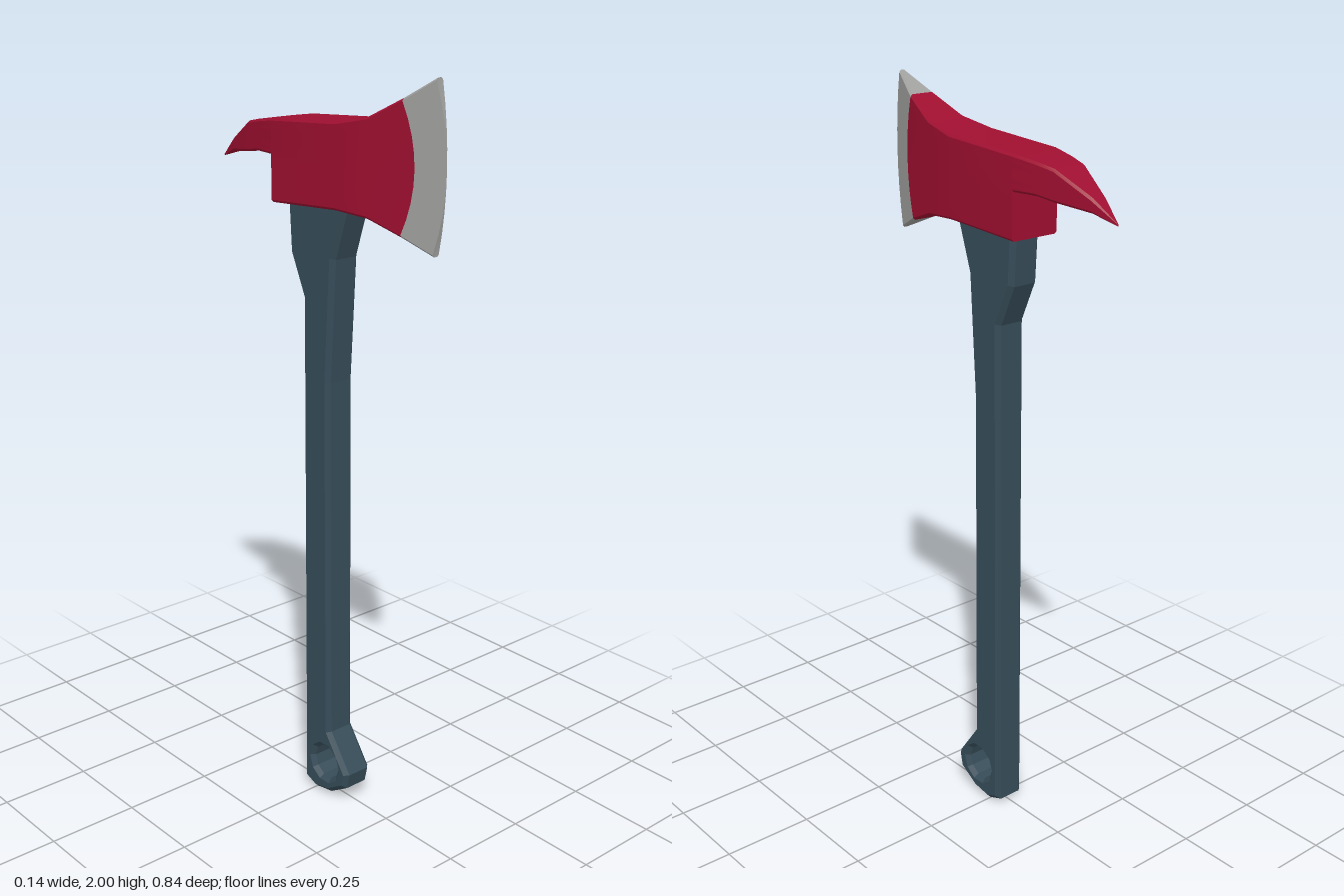
import * as THREE from 'three';
import { toCreasedNormals } from 'three/addons/utils/BufferGeometryUtils.js';

const SIDE_STEPS = 8;

// Half thickness of the head along z: [z, half width]
const THICKNESS = [[-0.42, 0], [-0.35, 0.023], [-0.25, 0.051], [-0.14, 0.072], [0.11, 0.072], [0.21, 0.058], [0.31, 0.037], [0.42, 0]];

function halfWidth(z) {
  for (let i = 1; i < THICKNESS.length; i++) {
    const [z0, w0] = THICKNESS[i - 1], [z1, w1] = THICKNESS[i];
    if (z <= z1) return THREE.MathUtils.mapLinear(Math.max(z, z0), z0, z1, w0, w1);
  }
  return 0;
}

// Chamfered cross-section: down the left side, then mirrored back up
function section([z, top, bottom, bulge = 0]) {
  const half = [];
  const add = (y, s, inset) => {
    const zz = z + bulge * (1 - s * s);
    const w = halfWidth(zz);
    half.push(new THREE.Vector3(inset ? w - Math.min(0.006, w * 0.5) : w, y, zz));
  };
  const c = Math.min(0.006, halfWidth(z) * 0.5, (top - bottom) * 0.3);
  add(top, 1, true);
  for (let i = 0; i <= SIDE_STEPS; i++) {
    const t = i / SIDE_STEPS;
    add(THREE.MathUtils.lerp(top - c, bottom + c, t), 1 - 2 * t, false);
  }
  add(bottom, 1, true);
  const mirrored = half.map((p) => new THREE.Vector3(-p.x, p.y, p.z)).reverse();
  return half.concat(mirrored);
}

// Skin a row of sections, closing the front end if asked
function loft(stations, capFront) {
  const rings = stations.map(section);
  const n = rings[0].length;
  const positions = [];
  const tri = (a, b, c) => {
    const area = b.clone().sub(a).cross(c.clone().sub(a)).length();
    if (area > 1e-9) for (const p of [a, b, c]) positions.push(p.x, p.y, p.z);
  };
  for (let k = 0; k < rings.length - 1; k++) {
    for (let i = 0; i < n; i++) {
      const j = (i + 1) % n;
      tri(rings[k][i], rings[k + 1][i], rings[k][j]);
      tri(rings[k][j], rings[k + 1][i], rings[k + 1][j]);
    }
  }
  if (capFront) {
    const r = rings[rings.length - 1];
    for (let i = 0; i < n / 2 - 1; i++) {
      tri(r[i], r[n - 1 - i], r[n - 2 - i]);
      tri(r[i], r[n - 2 - i], r[i + 1]);
    }
  }
  const g = new THREE.BufferGeometry();
  g.setAttribute('position', new THREE.Float32BufferAttribute(positions, 3));
  return toCreasedNormals(g, 0.3);
}

// Handle outline in (z, y) with a lanyard hole, bevelled across x
function handleGeometry() {
  const outline = [
    [0.118, 1.7], [0.116, 1.66], [0.074, 1.535], [0.055, 1.21], [0.06, 0.2], [0.135, 0.095], [0.125, 0.05],
    [0.06, 0.01], [0, 0], [-0.045, 0.018], [-0.045, 1.42], [-0.095, 1.53], [-0.103, 1.66], [-0.103, 1.7],
  ];
  const shape = new THREE.Shape(outline.map(([z, y]) => new THREE.Vector2(z, y)));
  const hole = [];
  for (let i = 0; i < 10; i++) {
    const a = (i / 10) * Math.PI * 2;
    hole.push(new THREE.Vector2(0.042 + 0.049 * Math.cos(a), 0.098 + 0.049 * Math.sin(a)));
  }
  shape.holes.push(new THREE.Path(hole));
  const bevel = 0.012, depth = 0.09 - 2 * bevel;
  const g = new THREE.ExtrudeGeometry(shape, {
    depth, bevelEnabled: true, bevelSegments: 1, bevelSize: bevel, bevelThickness: bevel, bevelOffset: -bevel,
  });
  g.translate(0, 0, -depth / 2);
  g.rotateY(-Math.PI / 2);
  return g;
}

export function createModel() {
  const material = (name, color) => {
    const m = new THREE.MeshStandardMaterial({ color });
    m.name = name;
    return m;
  };
  const red = material('red paint', 0x9f0f30);
  const slate = material('slate handle', 0x364c58);
  const steel = material('bare steel', 0xa0a09e);

  const group = new THREE.Group();
  group.name = 'axe';
  const add = (name, geometry, mat) => {
    const mesh = new THREE.Mesh(geometry, mat);
    mesh.name = name;
    group.add(mesh);
  };

  // Stations from pick tip to blade: [z, top y, bottom y, forward bulge]
  const cheekEnd = [0.308, 1.95, 1.627, 0.033];
  const head = [
    [-0.418, 1.737, 1.733], [-0.35, 1.79, 1.754], [-0.25, 1.845, 1.767], [-0.2, 1.855, 1.775],
    [-0.13, 1.865, 1.775], [-0.13, 1.865, 1.655], [0.11, 1.88, 1.668], [0.21, 1.9, 1.66], cheekEnd,
  ];
  add('handle', handleGeometry(), slate);
  add('head', loft(head, false), red);
  add('cuttingEdge', loft([cheekEnd, [0.39, 2, 1.59, 0.03]], true), steel);
  return group;
}
